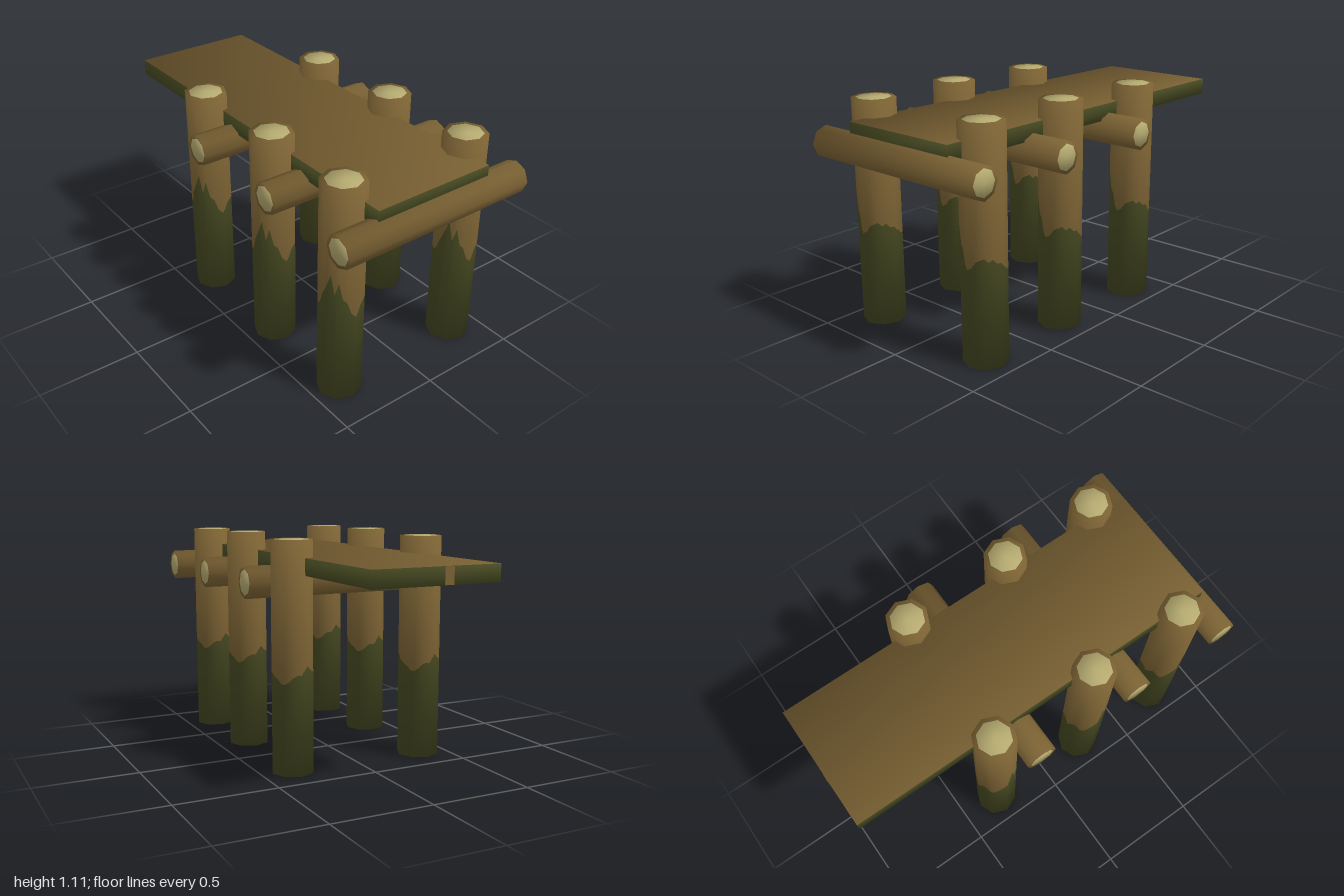
import * as THREE from 'three';

const material = (name, color) => {
  const m = new THREE.MeshStandardMaterial({ color });
  m.name = name;
  return m;
};

// Height of the moss line around a post, four columns per octagon side, from +z towards +x
const MOSS = [
  0.46, 0.47, 0.50, 0.51, 0.52, 0.50, 0.51, 0.49, 0.49, 0.47, 0.46, 0.44, 0.44, 0.45, 0.47, 0.48,
  0.48, 0.50, 0.52, 0.50, 0.49, 0.48, 0.50, 0.53, 0.57, 0.62, 0.68, 0.58, 0.65, 0.56, 0.54, 0.48,
];

// Eight-sided log along y, from 0 to height, with soft normals that lean outwards at the ends.
// mats: 0 bark, 1 cut wood, 2 moss
function logGeometry(radius, height, mossy) {
  const cols = 32;
  // rings of [radius fraction, height of each column], and the material of the strip above each
  const rings = [[0, () => 0, 1], [0.8, () => 0, 0], [1, () => 0, mossy ? 2 : 0]];
  if (mossy) rings.push([1, (j) => MOSS[j % cols], 0]);
  rings.push([1, () => height, 0], [0.8, () => height, 1], [0, () => height, 1]);

  const pos = [], nor = [], index = [];
  const geo = new THREE.BufferGeometry();
  const corner = (k) => [Math.sin((k * Math.PI) / 4), Math.cos((k * Math.PI) / 4)];
  rings.forEach(([f, y, mat], i) => {
    for (let j = 0; j <= cols; j++) {
      const k = Math.floor(j / 4), t = (j % 4) / 4;
      const a = corner(k), b = corner(k + 1);
      const x = f * (a[0] + (b[0] - a[0]) * t), z = f * (a[1] + (b[1] - a[1]) * t);
      pos.push(x * radius, y(j), z * radius);
      const n = new THREE.Vector3(x, 0.85 * ((2 * y(j)) / height - 1), z).normalize();
      nor.push(n.x, n.y, n.z);
    }
    if (i === rings.length - 1) return;
    const start = index.length;
    for (let j = 0; j < cols; j++) {
      const a = i * (cols + 1) + j, c = a + cols + 1;
      if (f > 0) index.push(a, a + 1, c + 1);
      else index.push(a, c + 1, c);
      if (f > 0 && rings[i + 1][0] > 0) index.push(a, c + 1, c);
    }
    geo.addGroup(start, index.length - start, mat);
  });
  geo.setAttribute('position', new THREE.Float32BufferAttribute(pos, 3));
  geo.setAttribute('normal', new THREE.Float32BufferAttribute(nor, 3));
  geo.setIndex(index);
  return geo;
}

export function createModel() {
  const bark = material('brown wood', 0x7a6133);
  const cut = material('cut wood', 0xb5aa70);
  const moss = material('moss green', 0x474a22);
  const logMats = [bark, cut, moss];

  const model = new THREE.Group();
  model.name = 'jetty';
  const add = (name, geo, mats, x, y, z) => {
    const mesh = new THREE.Mesh(geo, mats);
    mesh.name = name;
    mesh.position.set(x, y, z);
    model.add(mesh);
    return mesh;
  };

  // Three pairs of posts, each with a cross beam just in front
  const post = logGeometry(0.104, 1.1, true);
  const beam = logGeometry(0.078, 1.02, false);
  const bays = [[0.76, 0.922], [0.252, 0.412], [-0.3, -0.143]];
  bays.forEach(([postZ, beamZ], i) => {
    const lift = i === 1 ? 0.008 : 0;
    add('rightPost', post, logMats, -0.356, lift, postZ);
    add('leftPost', post, logMats, 0.34, lift, postZ);
    add('crossBeam', beam, logMats, -0.51, 0.893, beamZ).rotation.z = -Math.PI / 2;
  });

  // Deck plank with mossy edges and softened corner normals
  const deck = new THREE.BoxGeometry(0.63, 0.08, 1.935);
  const p = deck.attributes.position, s = 1 / Math.sqrt(3);
  for (let i = 0; i < p.count; i++) {
    deck.attributes.normal.setXYZ(
      i, Math.sign(p.getX(i)) * s, Math.sign(p.getY(i)) * s, Math.sign(p.getZ(i)) * s);
  }
  add('deckPlank', deck, [moss, moss, bark, bark, moss, moss], 0, 0.978, -0.0325);

  // Bare patch on the back edge of the deck
  add('barePatch', new THREE.BoxGeometry(0.045, 0.078, 0.004), bark, -0.055, 0.978, -0.9995);

  return model;
}
